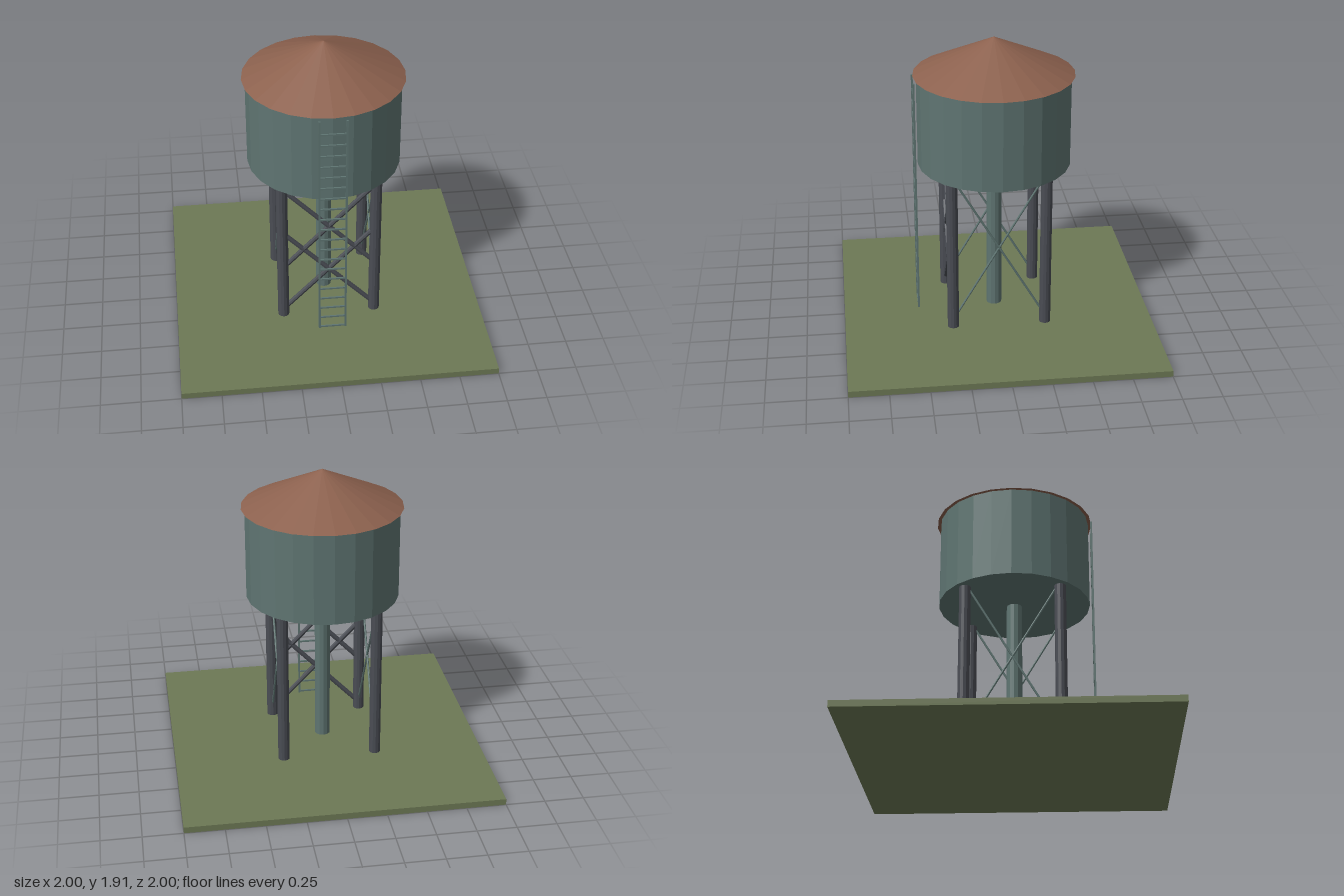
import * as THREE from 'three';

export function createModel() {
  const model = new THREE.Group();
  model.name = 'waterTower';

  const material = (name, color) => {
    const m = new THREE.MeshStandardMaterial({ color, flatShading: true });
    m.name = name;
    return m;
  };
  const grass = material('grass green', 0x6d7955);
  const tankPaint = material('tank grey green', 0x5f7572);
  const rust = material('roof red brown', 0x8c614e);
  const steel = material('dark steel', 0x4a4d54);

  const add = (name, geometry, mat, x, y, z, parent = model) => {
    const mesh = new THREE.Mesh(geometry, mat);
    mesh.name = name;
    mesh.position.set(x, y, z);
    parent.add(mesh);
    return mesh;
  };

  // Round bar running between two points
  const bar = (name, a, b, radius, mat, parent) => {
    const from = new THREE.Vector3(...a);
    const dir = new THREE.Vector3(...b).sub(from);
    const mid = from.clone().addScaledVector(dir, 0.5);
    const geometry = new THREE.CylinderGeometry(radius, radius, dir.length(), 8);
    const mesh = add(name, geometry, mat, mid.x, mid.y, mid.z, parent);
    mesh.quaternion.setFromUnitVectors(new THREE.Vector3(0, 1, 0), dir.normalize());
  };

  const group = (name) => {
    const g = new THREE.Group();
    g.name = name;
    model.add(g);
    return g;
  };

  // Ground slab, tank, roof and centre pipe
  add('ground', new THREE.BoxGeometry(2, 0.04, 2), grass, 0, 0.02, 0);
  add('tank', new THREE.CylinderGeometry(0.49, 0.49, 0.6, 24), tankPaint, 0, 1.375, 0);
  add('roof', new THREE.ConeGeometry(0.512, 0.24, 24), rust, 0, 1.79, 0);
  add('centrePipe', new THREE.CylinderGeometry(0.05, 0.05, 1.07, 12), tankPaint, 0, 0.545, 0);

  // Four legs
  const legs = group('legs');
  for (const x of [-0.3, 0.3]) {
    for (const z of [-0.3, 0.3]) {
      add('leg', new THREE.CylinderGeometry(0.037, 0.037, 1.08, 12), steel, x, 0.545, z, legs);
    }
  }

  // Two heavy crosses at the front, a thin rod cross on each side
  const frontBraces = group('frontBraces');
  const sideRods = group('sideRods');
  for (const s of [-1, 1]) {
    for (const y of [0.39, 0.73]) {
      bar('frontBrace', [-0.285 * s, y - 0.295, 0.3], [0.285 * s, y + 0.295, 0.3], 0.016, steel, frontBraces);
    }
    for (const x of [-0.3, 0.3]) {
      bar('sideRod', [x, 0.12, -0.28 * s], [x, 1.07, 0.28 * s], 0.007, tankPaint, sideRods);
    }
  }

  // Ladder up the front of the tank
  const ladder = group('ladder');
  for (const x of [-0.084, 0.084]) {
    add('ladderRail', new THREE.BoxGeometry(0.012, 1.58, 0.012), tankPaint, x, 0.86, 0.51, ladder);
  }
  for (let i = 0; i < 20; i++) {
    add('ladderRung', new THREE.BoxGeometry(0.168, 0.01, 0.01), tankPaint, 0, 0.08 + i * 0.0777, 0.51, ladder);
  }

  return model;
}
